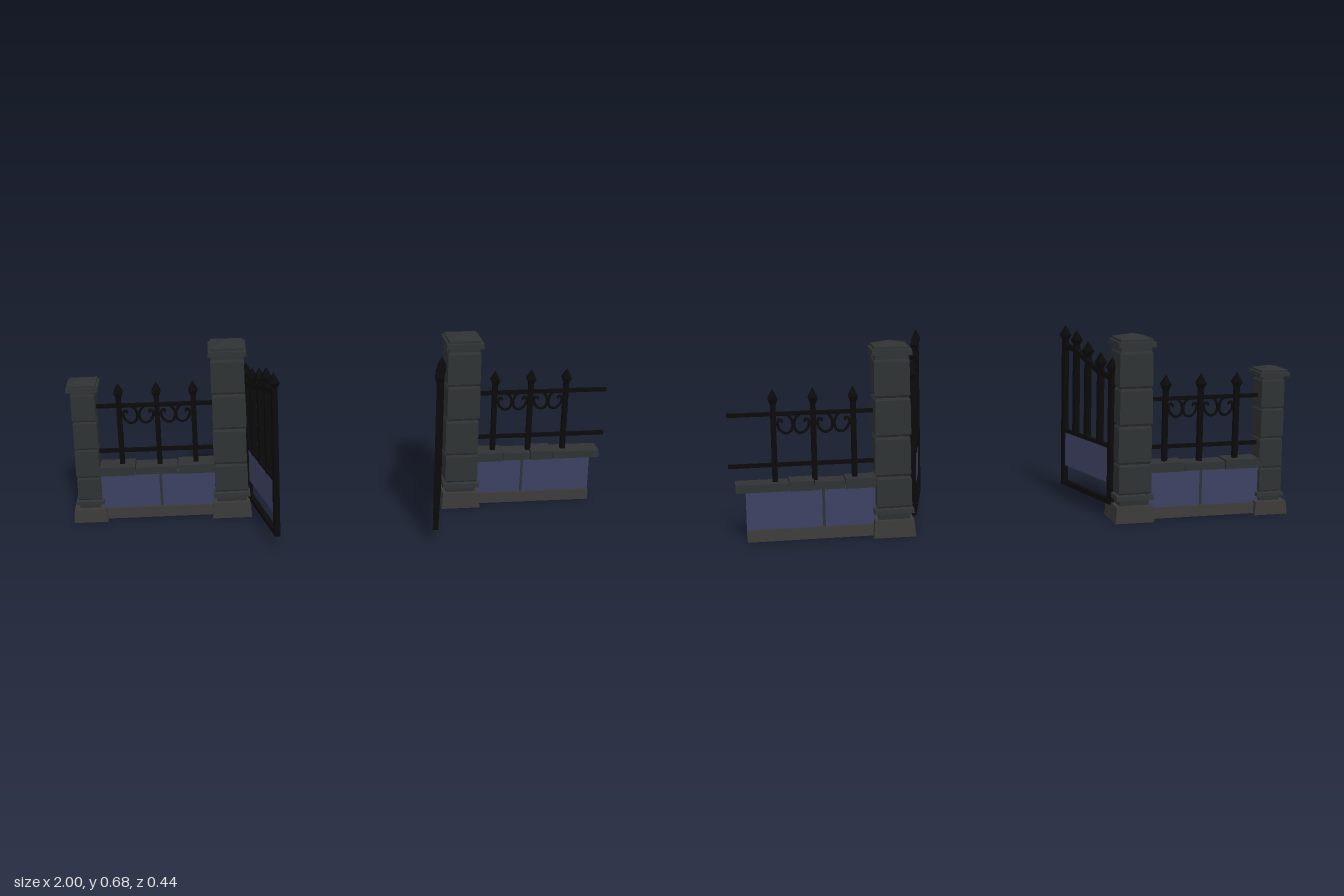
import * as THREE from 'three';

const mat = (color, opts = {}) => new THREE.MeshStandardMaterial({ color, flatShading: true, ...opts });
const stone = mat(0x2f3233);
const footStone = mat(0x3a3938);
const panelBlue = mat(0x3d4163);
const iron = mat(0x0a0a0a);
const Z = -0.14; // centre line of the fence

function add(parent, name, geometry, material, x = 0, y = 0, z = 0) {
  const mesh = new THREE.Mesh(geometry, material);
  mesh.name = name;
  mesh.position.set(x, y, z);
  parent.add(mesh);
  return mesh;
}

function group(parent, name) {
  const g = new THREE.Group();
  g.name = name;
  parent.add(g);
  return g;
}

const box = (parent, name, material, w, h, d, x, y, z) =>
  add(parent, name, new THREE.BoxGeometry(w, h, d), material, x, y, z);

// Four-sided turned shape; profile holds [half width, height]
function squareLathe(profile) {
  const pts = profile.map(([r, y]) => new THREE.Vector2(r * Math.SQRT2, y));
  return new THREE.LatheGeometry(pts, 4, Math.PI / 4);
}

// Square bar between two points
function bar(parent, name, a, b, t) {
  const from = new THREE.Vector3(...a), to = new THREE.Vector3(...b);
  const mesh = new THREE.Mesh(new THREE.BoxGeometry(t, t, from.distanceTo(to)), iron);
  mesh.name = name;
  mesh.position.copy(from).lerp(to, 0.5);
  mesh.lookAt(to);
  parent.add(mesh);
}

// Spear point on top of a bar
function finial(parent, x, y, z) {
  add(parent, 'finial', squareLathe([[0.006, 0], [0.0165, 0.027], [0, 0.063]]), iron, x, y, z);
}

// Stone pillar: foot, collar, stacked blocks and pyramid cap
function pillar(root, name, x, foot, body, collar, cap, scaleY) {
  const g = group(root, name);
  g.position.set(x, 0, Z);
  g.scale.y = scaleY;
  add(g, 'foot', squareLathe([[0, 0.04], [foot * 0.7, 0.04], [foot * 0.78, 0], [foot, 0], [foot * 0.92, 0.06], [0, 0.06]]), footStone);
  add(g, 'collar', squareLathe([
    [body * 0.88, 0.06], [body * 0.92, 0.08], [collar, 0.082], [collar * 0.98, 0.098], [body * 0.94, 0.102], [0, 0.102],
  ]), stone);
  const levels = [0.1, 0.212, 0.35, 0.485, 0.617];
  for (let i = 0; i < 4; i++) {
    const h = levels[i + 1] - levels[i];
    const block = add(g, 'block', squareLathe([
      [0, 0], [body * 0.92, 0], [body, 0.009], [body * 0.99, h - 0.009], [body * 0.92, h], [0, h],
    ]), stone, 0, levels[i], 0);
    block.rotation.y = [0.015, -0.02, 0.02, -0.012][i];
  }
  add(g, 'cap', squareLathe([
    [body * 0.92, 0.612], [body * 0.92, 0.63], [cap, 0.631], [cap * 0.98, 0.65], [cap * 0.86, 0.651], [cap * 0.86, 0.66], [0, 0.676],
  ]), stone);
}

// Low hollow wall with blue panels, split at one joint
function wall(root, name, x0, joint, x1, copingEnds) {
  const g = group(root, name);
  const length = x1 - x0, mid = (x0 + x1) / 2;
  for (const side of [1, -1]) {
    const section = new THREE.Shape([
      new THREE.Vector2(0.022, 0.004), new THREE.Vector2(0.044, 0.004),
      new THREE.Vector2(0.038, 0.042), new THREE.Vector2(0.022, 0.042),
    ]);
    const plinth = new THREE.ExtrudeGeometry(section, { depth: length, bevelEnabled: false });
    plinth.translate(0, 0, -length / 2).rotateY(-side * Math.PI / 2);
    add(g, 'plinth', plinth, footStone, mid, 0, Z);
    for (const [a, b] of [[x0, joint - 0.005], [joint + 0.005, x1]]) {
      box(g, 'panel', panelBlue, b - a, 0.15, 0.005, (a + b) / 2, 0.11, Z + side * 0.025);
    }
    box(g, 'joint', stone, 0.012, 0.15, 0.004, joint, 0.11, Z + side * 0.023);
  }
  // Coping stones with slightly uneven sizes
  for (let i = 0; i < copingEnds.length - 1; i++) {
    const a = copingEnds[i], b = copingEnds[i + 1], odd = i % 2;
    box(g, 'copingStone', stone, b - a - 0.003, odd ? 0.028 : 0.034, odd ? 0.074 : 0.08,
      (a + b) / 2, odd ? 0.188 : 0.19, Z);
  }
}

// Iron railing: two rails, three spear bars and four scrolls
function railing(root, name, x0, x1, bars) {
  const g = group(root, name);
  for (const y of [0.26, 0.435]) bar(g, 'rail', [x0, y, Z], [x1, y, Z], 0.013);
  bars.forEach((x, i) => {
    bar(g, 'upright', [x, 0.19, Z], [x, 0.468, Z], 0.018);
    finial(g, x, 0.46, Z);
    for (const dir of [-1, 1]) {
      if ((i === 0 && dir < 0) || (i === 2 && dir > 0)) continue;
      const path = [
        [0.03, 0.405], [0.024, 0.417], [0.014, 0.406], [0.02, 0.382], [0.04, 0.367],
        [0.058, 0.374], [0.065, 0.395], [0.06, 0.417], [0.048, 0.43],
      ].map(([dx, y]) => new THREE.Vector3(x + dir * dx, y, Z));
      add(g, 'scroll', new THREE.TubeGeometry(new THREE.CatmullRomCurve3(path), 28, 0.005, 5), iron);
    }
  });
}

// Open gate leaf, running from its hinge along local +x
function gateLeaf(root, name, hingeX, freeX) {
  const g = group(root, name);
  const hingeZ = -0.125, dx = freeX - hingeX, dz = 0.33;
  const L = Math.hypot(dx, dz);
  g.position.set(hingeX, 0, hingeZ);
  g.rotation.y = Math.atan2(-dz, dx);
  const stations = [[0, 0.515], [0.233, 0.523], [0.5, 0.552], [0.75, 0.582], [1, 0.591]];
  stations.forEach(([t, y], i) => {
    const end = i === 0 || i === 4;
    bar(g, end ? 'endPost' : 'upright', [t * L, end ? 0.053 : 0.26, 0], [t * L, y + 0.018, 0], 0.02);
    finial(g, t * L, y + 0.012, 0);
    if (i) {
      const [pt, py] = stations[i - 1];
      bar(g, 'topRail', [pt * L, py, 0], [t * L, y, 0], 0.017);
    }
  });
  bar(g, 'bottomRail', [0, 0.062, 0], [L, 0.062, 0], 0.018);
  bar(g, 'middleRail', [0, 0.265, 0], [L, 0.265, 0], 0.013);
  box(g, 'gatePanel', panelBlue, L, 0.132, 0.006, L / 2, 0.196, 0);
}

export function createModel() {
  const root = new THREE.Group();
  root.name = 'gateAndFence';

  pillar(root, 'rightGatePillar', -0.415, 0.073, 0.061, 0.069, 0.069, 1);
  pillar(root, 'leftGatePillar', 0.447, 0.073, 0.061, 0.069, 0.069, 1);
  pillar(root, 'endPillar', -0.937, 0.063, 0.043, 0.051, 0.057, 0.806);

  wall(root, 'rightWall', -0.9, -0.675, -0.46, [-0.9, -0.765, -0.61, -0.47]);
  wall(root, 'leftWall', 0.49, 0.685, 0.945, [0.495, 0.61, 0.715, 0.8, 0.98]);

  railing(root, 'rightRailing', -0.91, -0.46, [-0.813, -0.676, -0.543]);
  railing(root, 'leftRailing', 0.49, 1, [0.575, 0.711, 0.845]);

  gateLeaf(root, 'rightGateLeaf', -0.347, -0.262);
  gateLeaf(root, 'leftGateLeaf', 0.37, 0.306);
  return root;
}
